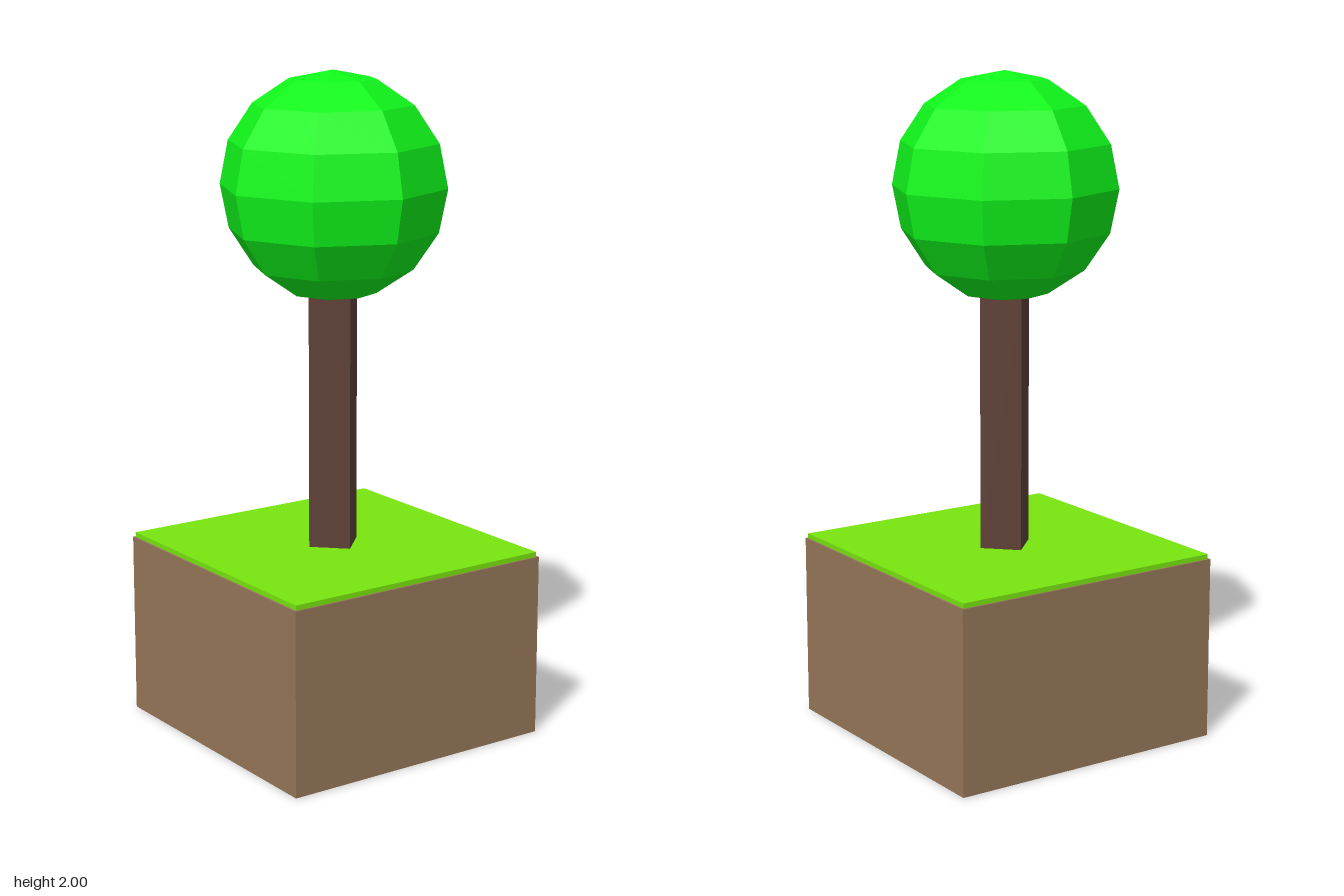
import * as THREE from 'three';

export function createModel() {
  const model = new THREE.Group();

  const add = (name, geometry, color, y) => {
    const material = new THREE.MeshStandardMaterial({ color, flatShading: true });
    const mesh = new THREE.Mesh(geometry, material);
    mesh.name = name;
    mesh.position.y = y;
    model.add(mesh);
  };

  // Square block of earth with a thin, slightly inset layer of grass
  const soilHeight = 0.557, grassTop = 0.572;
  add('soilBlock', new THREE.BoxGeometry(0.886, soilHeight, 0.886), 0x967759, soilHeight / 2);
  add('grass', new THREE.BoxGeometry(0.874, grassTop - soilHeight, 0.874), 0x78e60f, (grassTop + soilHeight) / 2);

  // Four-sided trunk, corners on the axes, running just into the crown
  const trunkTop = 1.345;
  add('trunk', new THREE.CylinderGeometry(0.088, 0.088, trunkTop - grassTop, 4), 0x5d4037, (trunkTop + grassTop) / 2);

  // Faceted round crown
  add('crown', new THREE.SphereGeometry(0.34, 8, 8), 0x10f81a, 1.66);

  return model;
}
